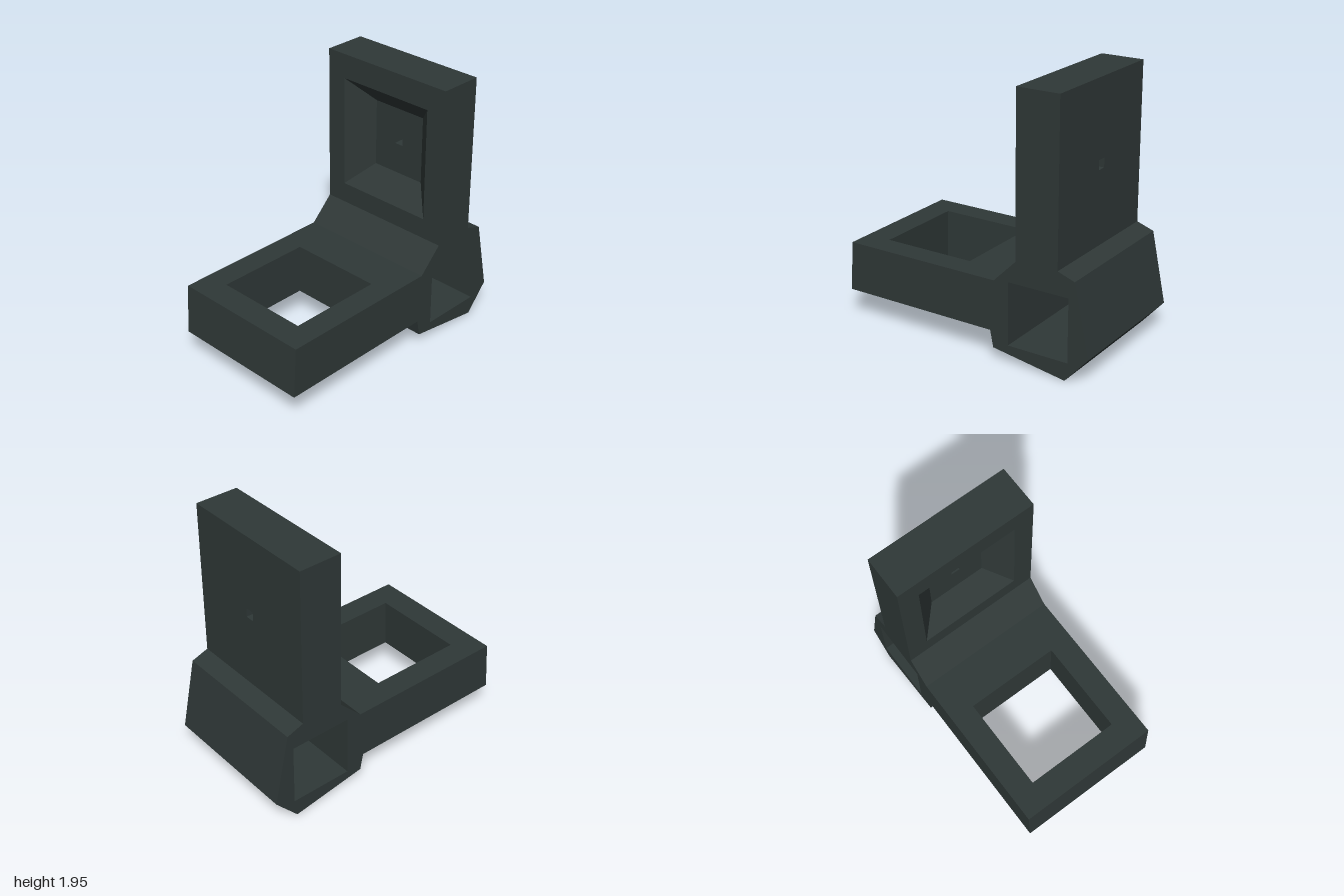
import * as THREE from 'three';

const HALF = 0.543; // half depth along z

// Closed solid with an opening through it: skins a cycle of four-cornered loops
function ringSolid(loops) {
  const pos = [];
  loops.forEach((a, i) => {
    const b = loops[(i + 1) % loops.length];
    for (let j = 0; j < 4; j++) {
      const k = (j + 1) % 4;
      for (const p of [a[j], b[j], b[k], a[j], b[k], a[k]]) pos.push(...p);
    }
  });
  const geometry = new THREE.BufferGeometry();
  geometry.setAttribute('position', new THREE.Float32BufferAttribute(pos, 3));
  geometry.computeVertexNormals();
  return geometry;
}

// Rectangle lying at height y
const flatLoop = (y, x0, x1, z) => [[x0, y, -z], [x1, y, -z], [x1, y, z], [x0, y, z]];
// Rectangle standing at position x
const wallLoop = (x, y0, y1, z) => [[x, y0, -z], [x, y1, -z], [x, y1, z], [x, y0, z]];

export function createModel() {
  const group = new THREE.Group();
  const slate = new THREE.MeshStandardMaterial({ color: 0x2f3837 });
  slate.name = 'dark slate';

  const add = (name, geometry) => {
    const mesh = new THREE.Mesh(geometry, slate);
    mesh.name = name;
    group.add(mesh);
  };

  // Faceted corner hub with a square tunnel along z
  const hub = new THREE.Shape([
    [0.23, 0.215], [0.255, 0.09], [0.825, 0.003], [1.0, 0.2], [0.89, 0.73],
    [0.76, 0.775], [0.435, 0.765], [0.26, 0.59],
  ].map(([x, y]) => new THREE.Vector2(x, y)));
  hub.holes.push(new THREE.Path([
    [0.375, 0.137], [0.375, 0.605], [0.845, 0.605], [0.845, 0.137],
  ].map(([x, y]) => new THREE.Vector2(x, y))));
  const hubGeometry = new THREE.ExtrudeGeometry(hub, { depth: 2 * HALF, bevelEnabled: false });
  hubGeometry.translate(0, 0, -HALF);
  add('hub', hubGeometry);

  // Horizontal arm with a square window through its height
  add('arm', ringSolid([
    flatLoop(0.215, -1.0, 0.23, HALF),
    flatLoop(0.59, -0.975, 0.26, HALF),
    flatLoop(0.59, -0.78, -0.065, 0.36),
    flatLoop(0.215, -0.785, -0.08, 0.355),
  ]));

  // Upright with a tapered pocket on its inner face and a pinhole to the outside
  const outerRight = wallLoop(0.76, 0.775, 1.955, HALF);
  const outerLeft = wallLoop(0.435, 0.765, 1.955, HALF);
  add('upright', ringSolid([
    outerRight,
    outerLeft,
    wallLoop(0.435, 0.92, 1.77, 0.39),
    wallLoop(0.595, 1.09, 1.6, 0.22),
    wallLoop(0.595, 1.32, 1.39, 0.035),
    wallLoop(0.76, 1.32, 1.39, 0.035),
  ]));

  return group;
}
